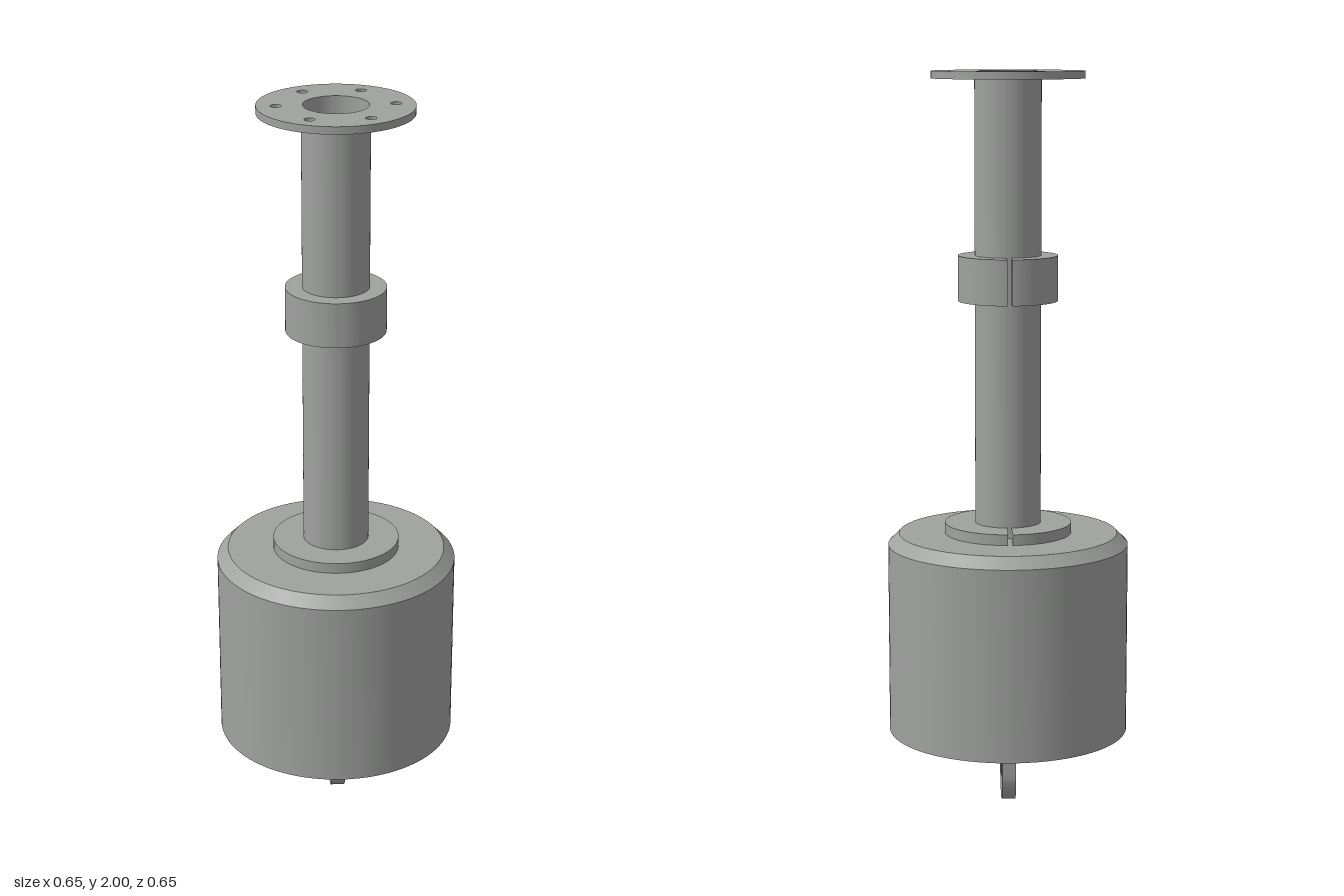
import * as THREE from 'three';
import { toCreasedNormals } from 'three/addons/utils/BufferGeometryUtils.js';

const steel = new THREE.MeshStandardMaterial({ color: 0xa0a2a0 });
steel.name = 'steel grey';

function part(name, geometry) {
  const mesh = new THREE.Mesh(toCreasedNormals(geometry, 0.5), steel);
  mesh.name = name;
  return mesh;
}

// Solid of revolution from [radius, height] pairs, listed bottom to top on the outside
function turned(name, profile) {
  return part(name, new THREE.LatheGeometry(profile.map(([r, y]) => new THREE.Vector2(r, y)), 96));
}

function extrude(shape, depth) {
  return new THREE.ExtrudeGeometry(shape, { depth, bevelEnabled: false, curveSegments: 48 });
}

function hole(x, y, r) {
  return new THREE.Path().absarc(x, y, r, 0, Math.PI * 2, true);
}

// Ring with a narrow slit at the back (-z)
function splitRing(name, inner, outer, y0, y1) {
  const half = 0.006;
  const a = Math.asin(half / outer), b = Math.asin(half / inner);
  const back = Math.PI / 2; // shape +y becomes -z once laid flat
  const shape = new THREE.Shape();
  shape.absarc(0, 0, outer, back + a, back + Math.PI * 2 - a, false);
  shape.absarc(0, 0, inner, back + Math.PI * 2 - b, back + b, true);
  shape.closePath();
  const mesh = part(name, extrude(shape, y1 - y0).rotateX(-Math.PI / 2));
  mesh.position.y = y0;
  return mesh;
}

export function createModel() {
  const model = new THREE.Group();
  model.name = 'flangedShaftWithWeight';

  // Heavy drum with a chamfered top edge
  model.add(turned('drum', [[0, 0.206], [0.327, 0.206], [0.327, 0.728], [0.297, 0.758], [0, 0.758]]));

  // Hollow pipe
  model.add(turned('pipe', [[0.089, 0.75], [0.089, 1.985], [0.085, 1.985], [0.085, 0.76], [0, 0.76]]));

  // Split clamping rings
  model.add(splitRing('baseRing', 0.0885, 0.172, 0.758, 0.787));
  model.add(splitRing('collar', 0.0885, 0.134, 1.392, 1.514));

  // Top flange with bore and six bolt holes
  const disc = new THREE.Shape().absarc(0, 0, 0.204, 0, Math.PI * 2, false);
  disc.holes.push(hole(0, 0, 0.085));
  for (let i = 0; i < 6; i++) {
    const t = (i * Math.PI) / 3;
    disc.holes.push(hole(0.153 * Math.cos(t), 0.153 * Math.sin(t), 0.014));
  }
  const flange = part('topFlange', extrude(disc, 0.02).rotateX(-Math.PI / 2));
  flange.position.y = 1.98;
  model.add(flange);

  // Round-ended eye lug under the drum
  const w = 0.093;
  const tab = new THREE.Shape();
  tab.moveTo(w, 0.21);
  tab.lineTo(-w, 0.21);
  tab.lineTo(-w, w);
  tab.absarc(0, w, w, Math.PI, Math.PI * 2, false);
  tab.closePath();
  tab.holes.push(hole(0, 0.094, 0.033));
  model.add(part('eyeLug', extrude(tab, 0.038).translate(0, 0, -0.019).rotateY(Math.PI / 2)));

  return model;
}
